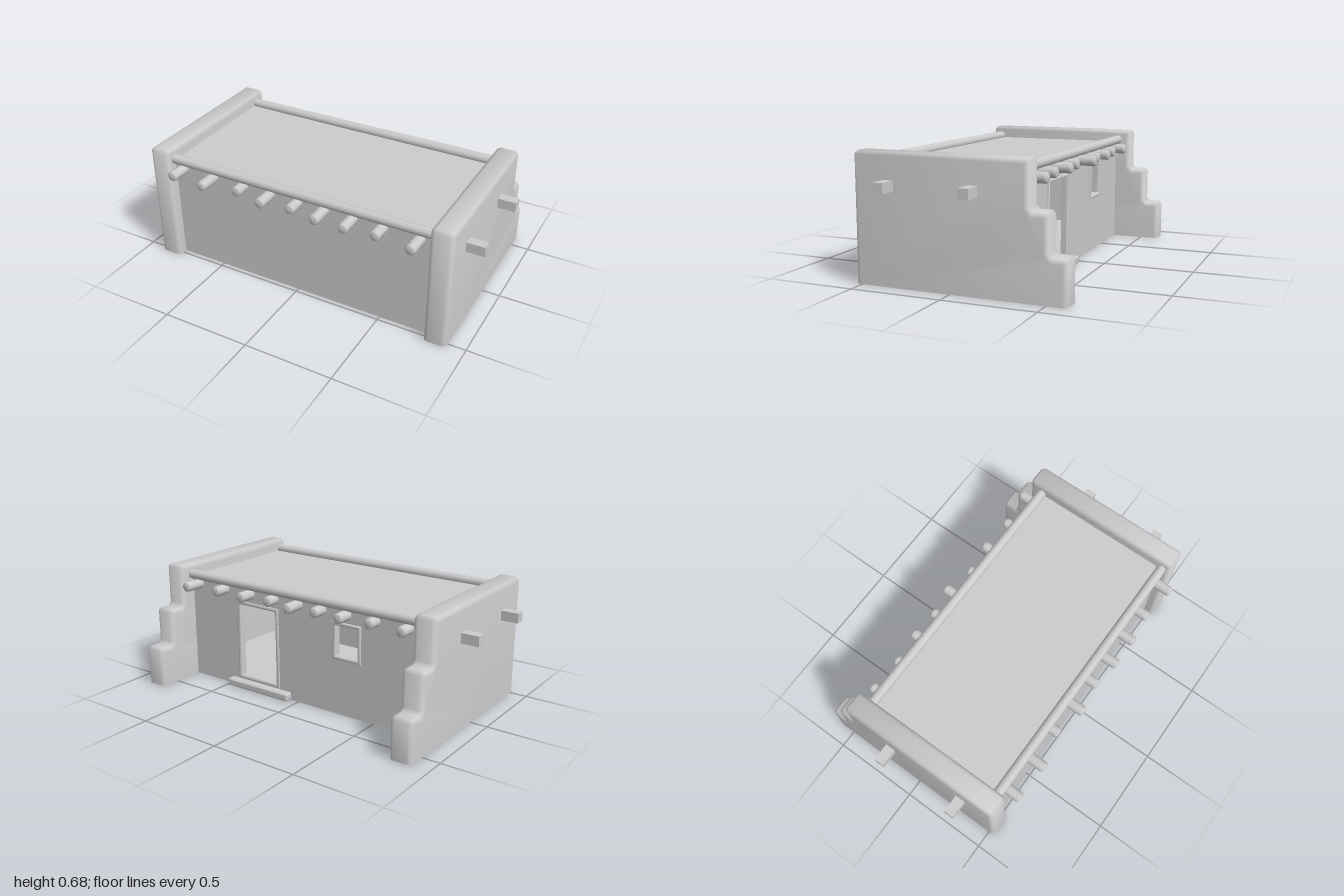
import * as THREE from 'three';
import { toCreasedNormals } from 'three/addons/utils/BufferGeometryUtils.js';
import { RoundedBoxGeometry } from 'three/addons/geometries/RoundedBoxGeometry.js';

const material = new THREE.MeshStandardMaterial({ color: 0xcccccc });

function add(parent, name, geometry, x = 0, y = 0, z = 0) {
  const mesh = new THREE.Mesh(geometry, material);
  mesh.name = name;
  mesh.position.set(x, y, z);
  parent.add(mesh);
  return mesh;
}

function box(parent, name, x0, x1, y0, y1, z0, z1) {
  return add(parent, name, new THREE.BoxGeometry(x1 - x0, y1 - y0, z1 - z0),
    (x0 + x1) / 2, (y0 + y1) / 2, (z0 + z1) / 2);
}

// Round log with softened ends between two points
function log(parent, name, from, to, r) {
  const dir = to.clone().sub(from);
  const h = dir.length() / 2;
  const end = [[0, h], [0.72 * r, h - 0.08 * r], [0.94 * r, h - 0.25 * r], [r, h - 0.55 * r]];
  const profile = [...end.map(([a, b]) => [a, -b]), ...end.reverse()];
  const g = new THREE.LatheGeometry(profile.map(([a, b]) => new THREE.Vector2(a, b)), 14);
  const mesh = add(parent, name, g);
  mesh.position.copy(from).addScaledVector(dir, 0.5);
  mesh.quaternion.setFromUnitVectors(new THREE.Vector3(0, 1, 0), dir.normalize());
}

function rectangle(Type, x0, x1, y0, y1) {
  const r = new Type();
  r.moveTo(x0, y0).lineTo(x1, y0).lineTo(x1, y1).lineTo(x0, y1).closePath();
  return r;
}

// Stepped end wall with softened edges and a flat base
function endWallGeometry() {
  const bevel = 0.026;
  const thickness = 0.126;
  const profile = [
    [-0.533, -0.05], [0.608, -0.05], [0.608, 0.21], [0.592, 0.228], [0.528, 0.228], [0.512, 0.245],
    [0.512, 0.42], [0.496, 0.438], [0.43, 0.438], [0.414, 0.455],
    [0.414, 0.666], [0.398, 0.682], [-0.517, 0.682], [-0.533, 0.666],
  ].map(([u, v]) => new THREE.Vector2(u, v));
  const g = new THREE.ExtrudeGeometry(new THREE.Shape(profile), {
    depth: thickness - 2 * bevel, bevelEnabled: true, bevelThickness: bevel,
    bevelSize: bevel, bevelOffset: -bevel, bevelSegments: 3,
  });
  g.translate(0, 0, bevel - thickness / 2);
  g.rotateY(Math.PI / 2);
  const p = g.attributes.position;
  for (let i = 0; i < p.count; i++) p.setY(i, Math.max(0, p.getY(i)));
  return toCreasedNormals(g, 0.9);
}

// Slim rounded border around an opening in the back wall
function frame(parent, name, o, width) {
  const s = rectangle(THREE.Shape, o.x0 - width, o.x1 + width, o.y0 - width, o.y1 + width);
  s.holes.push(rectangle(THREE.Path, o.x0, o.x1, o.y0, o.y1));
  const g = new THREE.ExtrudeGeometry(s, {
    depth: 0.026, bevelEnabled: true, bevelThickness: 0.008, bevelSize: 0.008,
    bevelOffset: -0.008, bevelSegments: 3,
  });
  add(parent, name, toCreasedNormals(g, 0.9), 0, 0, -0.327);
}

export function createModel() {
  const house = new THREE.Group();
  house.name = 'house';

  // End walls with square pegs
  const wall = endWallGeometry();
  for (const side of [-1, 1]) {
    const name = side > 0 ? 'left' : 'right';
    add(house, name + 'EndWall', wall, side * 0.838, 0, 0);
    for (const z of [0.331, -0.129]) {
      add(house, name + 'Peg', new THREE.BoxGeometry(0.12, 0.055, 0.055), side * 0.94, 0.515, z);
    }
  }

  // Thin front wall, raised floor and roof
  box(house, 'frontWall', -0.79, 0.79, 0, 0.61, 0.44, 0.475);
  box(house, 'floor', -0.79, 0.79, 0.058, 0.07, -0.3, 0.445);
  box(house, 'roof', -0.79, 0.79, 0.6, 0.612, -0.325, 0.475);

  // Back wall with door and window openings
  const door = { x0: 0.15, x1: 0.41, y0: 0.07, y1: 0.5 };
  const opening = { x0: -0.4, x1: -0.26, y0: 0.335, y1: 0.505 };
  const back = rectangle(THREE.Shape, -0.79, 0.79, 0, 0.61);
  for (const o of [door, opening]) back.holes.push(rectangle(THREE.Path, o.x0, o.x1, o.y0, o.y1));
  add(house, 'backWall', new THREE.ExtrudeGeometry(back, { depth: 0.03, bevelEnabled: false }), 0, 0, -0.325);
  frame(house, 'doorFrame', door, 0.02);
  frame(house, 'windowFrame', opening, 0.02);
  add(house, 'doorstep', new RoundedBoxGeometry(0.44, 0.045, 0.09, 2, 0.012), 0.27, 0.0225, -0.325);

  // Long rails along the roof edges
  for (const [name, z] of [['frontRail', 0.482], ['backRail', -0.335]]) {
    log(house, name, new THREE.Vector3(-0.79, 0.624, z), new THREE.Vector3(0.79, 0.624, z), 0.027);
  }

  // Roof beams running through both walls: front x, front z, back x, back z
  const beams = [
    [-0.72, 0.59, -0.70, -0.41], [-0.52, 0.60, -0.505, -0.40], [-0.325, 0.555, -0.33, -0.42],
    [-0.153, 0.595, -0.17, -0.41], [0.015, 0.57, -0.015, -0.44], [0.172, 0.595, 0.155, -0.40],
    [0.336, 0.595, 0.327, -0.425], [0.502, 0.575, 0.52, -0.415], [0.703, 0.60, 0.722, -0.445],
  ];
  for (const [fx, fz, bx, bz] of beams) {
    log(house, 'roofBeam', new THREE.Vector3(fx, 0.573, fz), new THREE.Vector3(bx, 0.573, bz), 0.029);
  }
  return house;
}
